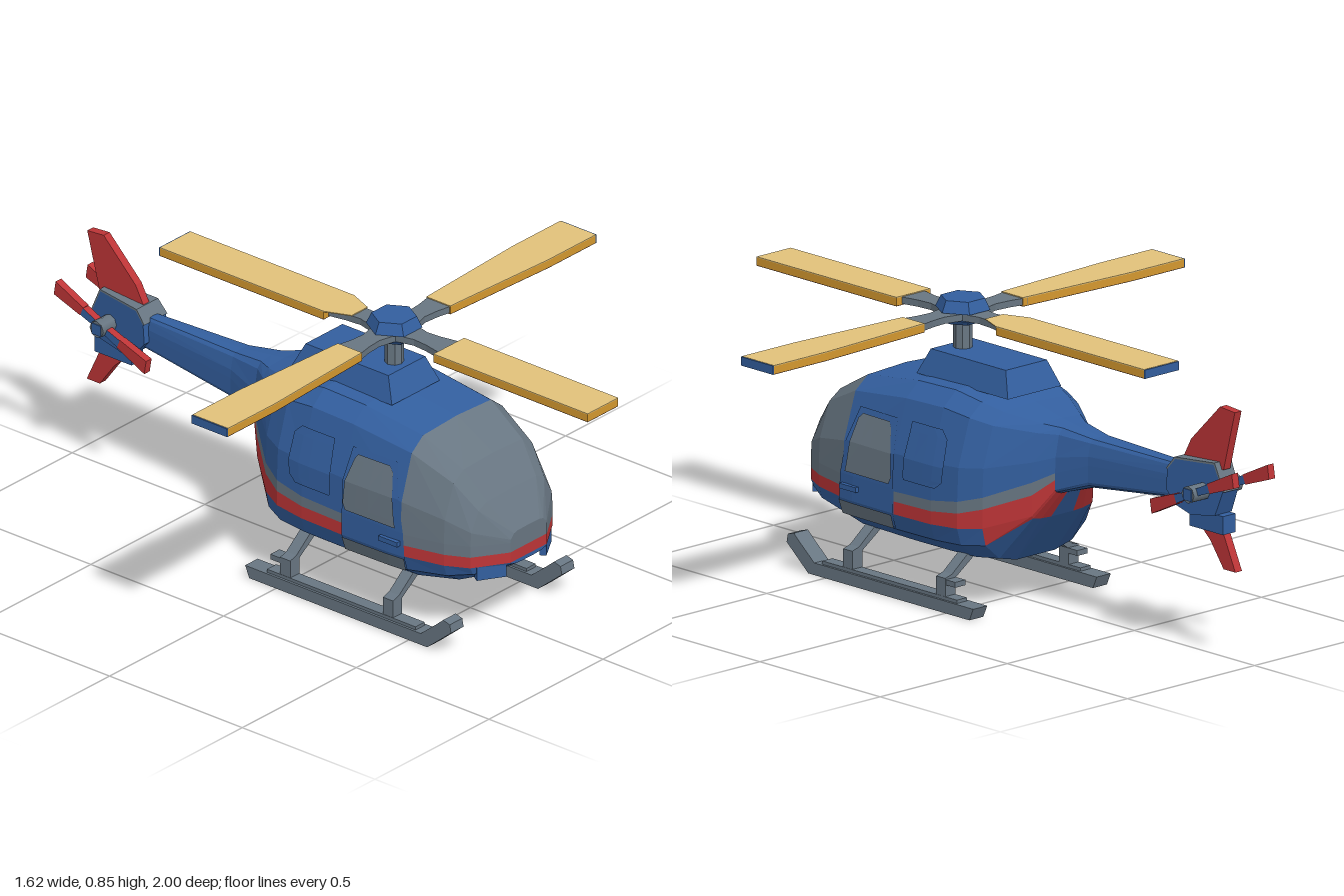
import * as THREE from 'three';

const mat = (name, color) => {
  const m = new THREE.MeshStandardMaterial({ color });
  m.name = name;
  return m;
};

export function createModel() {
  const blue = mat('blue paint', 0x335f9f), red = mat('red paint', 0xbe3537);
  const grey = mat('grey glass and metal', 0x687682), brown = mat('brown blade underside', 0x6e4422);
  const tan = mat('tan blade top', 0xe2c27a), orange = mat('orange blade edge', 0xd6992f);
  const model = new THREE.Group();

  const add = (name, geometry, material, parent = model) => {
    const mesh = new THREE.Mesh(geometry, material);
    mesh.name = name;
    parent.add(mesh);
    return mesh;
  };
  const box = (name, m, w, h, d, x, y, z, parent) => {
    const mesh = add(name, new THREE.BoxGeometry(w, h, d), m, parent);
    mesh.position.set(x, y, z);
    return mesh;
  };
  const extrude = (pts, depth) => new THREE.ExtrudeGeometry(
    new THREE.Shape(pts.map(p => new THREE.Vector2(...p))), { depth, bevelEnabled: false }
  ).translate(0, 0, -depth / 2);
  // Side outline given as (z, y), extruded across x
  const sideExtrude = (pts, depth) => extrude(pts, depth).rotateY(-Math.PI / 2);
  const facets = (pos) => {
    const g = new THREE.BufferGeometry();
    g.setAttribute('position', new THREE.Float32BufferAttribute(pos, 3));
    g.computeVertexNormals();
    return g;
  };
  const pushQuad = (out, a, b, c, d) => [a, b, c, a, c, d].forEach(p => out.push(...p));

  // Hull stations: z, half width, bottom, red bottom, red top, grey top, roof
  const stations = [
    [0.72, 0.08, 0.235, 0.247, 0.28, 0.31, 0.34],
    [0.655, 0.18, 0.195, 0.246, 0.28, 0.315, 0.435],
    [0.585, 0.215, 0.163, 0.245, 0.28, 0.315, 0.525],
    [0.45, 0.248, 0.138, 0.245, 0.28, 0.315, 0.6],
    [0.235, 0.252, 0.135, 0.242, 0.28, 0.31, 0.628],
    [0.08, 0.252, 0.135, 0.244, 0.283, 0.315, 0.632],
    [-0.02, 0.243, 0.135, 0.25, 0.295, 0.33, 0.615],
    [-0.09, 0.21, 0.14, 0.258, 0.315, 0.35, 0.595],
    [-0.2, 0.12, 0.285, 0.3, 0.362, 0.4, 0.57],
    [-0.25, 0.075, 0.365, 0.38, 0.41, 0.43, 0.562],
    [-0.36, 0.05, 0.4, 0.42, 0.45, 0.47, 0.547],
    [-0.72, 0.027, 0.44, 0.455, 0.475, 0.49, 0.542],
  ];
  const ring = ([z, w, b, r0, r1, g, t]) => [
    [0, b], [0.36 * w, b], [0.68 * w, b + (r0 - b) * 0.14], [0.94 * w, b + (r0 - b) * 0.55],
    [w, r0], [w, r1], [w, g], [0.98 * w, g + (t - g) * 0.35],
    [0.8 * w, g + (t - g) * 0.84], [0.6 * w, g + (t - g) * 0.975], [0, t],
  ].map(([x, y]) => [x, y, z]);
  const rings = stations.map(ring);
  const flip = ([x, y, z]) => [-x, y, z];

  // Fuselage and tail boom, sorted into colour bands
  const skin = { blue: [], red: [], grey: [] };
  const bandColour = (i, j) => {
    if (i >= 9) return 'blue';
    if (j < 2 && i > 2 && i < 7) return 'grey';
    if ((j === 3 && i >= 7) || (i === 8 && j > 0 && j < 4)) return 'red';
    if (j === 4) return i === 3 ? 'blue' : 'red';
    if (j === 5) return i === 3 ? 'blue' : 'grey';
    return i < 3 && j > 5 ? 'grey' : 'blue';
  };
  for (let j = 0; j < 10; j++) {
    for (let i = 0; i < rings.length - 1; i++) {
      const a = rings[i][j], b = rings[i][j + 1], c = rings[i + 1][j + 1], d = rings[i + 1][j];
      const out = skin[bandColour(i, j)];
      pushQuad(out, a, d, c, b);
      pushQuad(out, flip(a), flip(b), flip(c), flip(d));
    }
    const [a, b] = [rings[0][j], rings[0][j + 1]];
    pushQuad(skin[bandColour(0, j)], flip(a), a, b, flip(b));
  }
  add('fuselage', facets(skin.blue), blue);
  add('redStripe', facets(skin.red), red);
  add('windshieldStripeAndBelly', facets(skin.grey), grey);

  // Hull half width at a side position
  const hullX = (z, y) => {
    let i = 0;
    while (stations[i + 1][0] > z) i++;
    const s = stations[i], e = stations[i + 1], k = (s[0] - z) / (s[0] - e[0]);
    const r = ring(s.map((v, n) => v + (e[n] - v) * k));
    let j = 3;
    while (r[j + 1][1] < y) j++;
    return r[j][0] + (r[j + 1][0] - r[j][0]) * (y - r[j][1]) / (r[j + 1][1] - r[j][1]);
  };
  // Thin plates hugging both flanks; each row is y, rear z, front z
  const plate = (name, m, rows, lift) => {
    const out = [];
    const n = 4;
    const at = ([y, z0, z1], k) => {
      const z = z0 + (z1 - z0) * k / n;
      return [hullX(z, y) + lift, y, z];
    };
    for (let r = 0; r < rows.length - 1; r++) for (let k = 0; k < n; k++) {
      const q = [at(rows[r], k + 1), at(rows[r], k), at(rows[r + 1], k), at(rows[r + 1], k + 1)];
      pushQuad(out, ...q);
      pushQuad(out, ...q.map(flip).reverse());
    }
    add(name, facets(out), m);
  };
  plate('frontDoors', blue, [[0.2, 0.235, 0.465], [0.245, 0.235, 0.465], [0.32, 0.235, 0.46], [0.42, 0.235, 0.44], [0.52, 0.25, 0.41]], 0.004);
  plate('frontDoorWindows', grey, [[0.33, 0.25, 0.435], [0.35, 0.24, 0.43], [0.42, 0.245, 0.42], [0.49, 0.265, 0.405], [0.505, 0.275, 0.39]], 0.008);
  plate('lowerDoorPanels', grey, [[0.197, 0.24, 0.462], [0.24, 0.238, 0.465]], 0.008);
  plate('rearDoorPanels', blue, [[0.355, 0.06, 0.19], [0.375, 0.035, 0.192], [0.42, 0.03, 0.19], [0.5, 0.035, 0.185], [0.525, 0.06, 0.185]], 0.008);
  for (const s of [1, -1]) {
    box('doorHandle', blue, 0.014, 0.015, 0.07, s * 0.257, 0.285, 0.415);
    const vent = box('noseVent', blue, 0.09, 0.042, 0.02, s * 0.12, 0.224, 0.68);
    vent.rotation.y = s * 0.55;
  }

  // Engine cowl: a box narrowed towards its top
  const cowl = new THREE.BoxGeometry(0.21, 0.075, 0.38);
  const cp = cowl.attributes.position;
  for (let i = 0; i < cp.count; i++) if (cp.getY(i) > 0) {
    cp.setX(i, cp.getX(i) * 0.77);
    cp.setZ(i, cp.getZ(i) * 0.82);
  }
  cowl.computeVertexNormals();
  add('engineCowl', cowl, blue).position.set(0, 0.658, 0.105);

  // Main rotor
  const rotor = new THREE.Group();
  rotor.name = 'mainRotor';
  rotor.position.set(0, 0, 0.213);
  model.add(rotor);
  const prism = (name, m, r1, r0, h, y, n = 6) => {
    const mesh = add(name, new THREE.CylinderGeometry(r1, r0, h, n).toNonIndexed(), m, rotor);
    mesh.geometry.computeVertexNormals();
    mesh.geometry.rotateY(Math.PI / 2);
    mesh.position.y = y;
  };
  prism('mast', grey, 0.028, 0.028, 0.16, 0.705, 8);
  prism('hubCap', blue, 0.066, 0.082, 0.034, 0.828);
  prism('hubMiddle', grey, 0.05, 0.05, 0.03, 0.798);
  prism('hubBase', blue, 0.07, 0.055, 0.014, 0.78);
  // Blade plan: angle, distance and half width along it, blue tip, extra root of the top skin
  const side = [[0.194, 0.045], [0.6, 0.067], [0.806, 0.067]];
  const blades = [
    [0, side, true, []],
    [Math.PI, side, true, []],
    [-Math.PI / 2, [[0.206, 0.067], [0.5, 0.067], [0.787, 0.067]], false, []],
    [Math.PI / 2, [[0.208, 0.067], [0.5, 0.067], [0.824, 0.067]], true, [[0.13, 0.035]]],
  ];
  const plan = (rows, h) => extrude(
    [...rows.map(([r, w]) => [r, -w]), ...[...rows].reverse().map(([r, w]) => [r, w])], h
  ).rotateX(-Math.PI / 2);
  for (const [angle, rows, blueTip, root] of blades) {
    const arm = new THREE.Group();
    arm.name = 'rotorBlade';
    arm.rotation.y = angle;
    rotor.add(arm);
    const tip = rows[2];
    add('bladeArm', plan([[0.04, 0.045], [0.1, 0.03], [0.15, 0.034], [0.21, 0.046]], 0.02), grey, arm).position.y = 0.799;
    add('blade', plan(rows, 0.022), orange, arm).position.y = 0.798;
    add('bladeTop', plan([...root, ...rows], 0.003), tan, arm).position.y = 0.8105;
    add('bladeUnderside', plan(rows, 0.002), brown, arm).position.y = 0.786;
    if (blueTip) box('bladeTip', blue, 0.004, 0.026, 2 * tip[1], tip[0] + 0.002, 0.798, 0, arm);
  }

  // Tail gearbox, narrowing to the rear, with a grey top plate
  const taper = (geometry) => {
    const p = geometry.attributes.position;
    for (let i = 0; i < p.count; i++) p.setX(i, p.getX(i) * (1 + (p.getZ(i) + 0.69) * 1.9));
    geometry.computeVertexNormals();
    return geometry;
  };
  add('tailGearbox', taper(sideExtrude([[-0.685, 0.47], [-0.72, 0.43], [-0.78, 0.41], [-0.87, 0.425],
    [-0.9, 0.5], [-0.865, 0.575], [-0.72, 0.565], [-0.69, 0.53]], 0.1)), blue);
  add('gearboxTop', taper(sideExtrude([[-0.69, 0.53], [-0.72, 0.565], [-0.865, 0.575], [-0.9, 0.5],
    [-0.905, 0.5], [-0.868, 0.581], [-0.717, 0.571], [-0.685, 0.532]], 0.1)), grey);
  box('lowerTailBlock', blue, 0.05, 0.055, 0.14, 0, 0.398, -0.825);
  add('upperFin', sideExtrude([[-0.715, 0.56], [-0.75, 0.625], [-0.87, 0.745], [-0.932, 0.74], [-0.885, 0.56]], 0.026), red);
  add('lowerFin', sideExtrude([[-0.785, 0.38], [-0.83, 0.34], [-0.885, 0.265], [-0.934, 0.265], [-0.88, 0.38]], 0.026), red);

  // Tail rotors on a shared axle, with blue-faced blade roots
  const axle = add('tailAxle', new THREE.CylinderGeometry(0.026, 0.026, 0.194, 8).rotateZ(Math.PI / 2), grey);
  axle.position.set(0, 0.49, -0.825);
  for (const s of [1, -1]) {
    box('axleCap', blue, 0.004, 0.034, 0.034, s * 0.098, 0.49, -0.825);
    for (const half of [0, Math.PI]) {
      const blade = new THREE.Group();
      blade.name = 'tailRotorBlade';
      model.add(blade);
      add('tailBladeRoot', sideExtrude([[0, -0.01], [0.075, -0.013], [0.075, 0.013], [0, 0.01]], 0.024), [blue, red], blade);
      add('tailBlade', sideExtrude([[0.075, -0.015], [0.19, -0.021], [0.18, 0.021], [0.075, 0.015]], 0.024), red, blade);
      blade.position.set(s * 0.07, 0.49, -0.825);
      blade.rotation.x = 0.4 + half;
    }
  }

  // Landing skids and struts
  for (const s of [1, -1]) {
    const runner = add('skid', sideExtrude([[-0.1, 0], [0.57, 0], [0.66, 0.075], [0.655, 0.1], [0.63, 0.107],
      [0.605, 0.085], [0.545, 0.036], [-0.116, 0.036]], 0.055), grey);
    runner.position.x = s * 0.243;
    box('skidTread', grey, 0.04, 0.012, 0.56, s * 0.243, 0.04, 0.24);
    for (const z of [0.415, 0.028]) {
      const strut = add('strut', extrude([[0.12, 0.15], [0.15, 0.145], [0.222, 0.095], [0.222, 0.035],
        [0.262, 0.035], [0.262, 0.1], [0.235, 0.108], [0.15, 0.175]].map(([x, y]) => [s * x, y]), 0.038), grey);
      strut.position.z = z;
    }
    box('step', grey, 0.04, 0.016, 0.06, s * 0.24, 0.088, 0.0);
  }
  return model;
}
